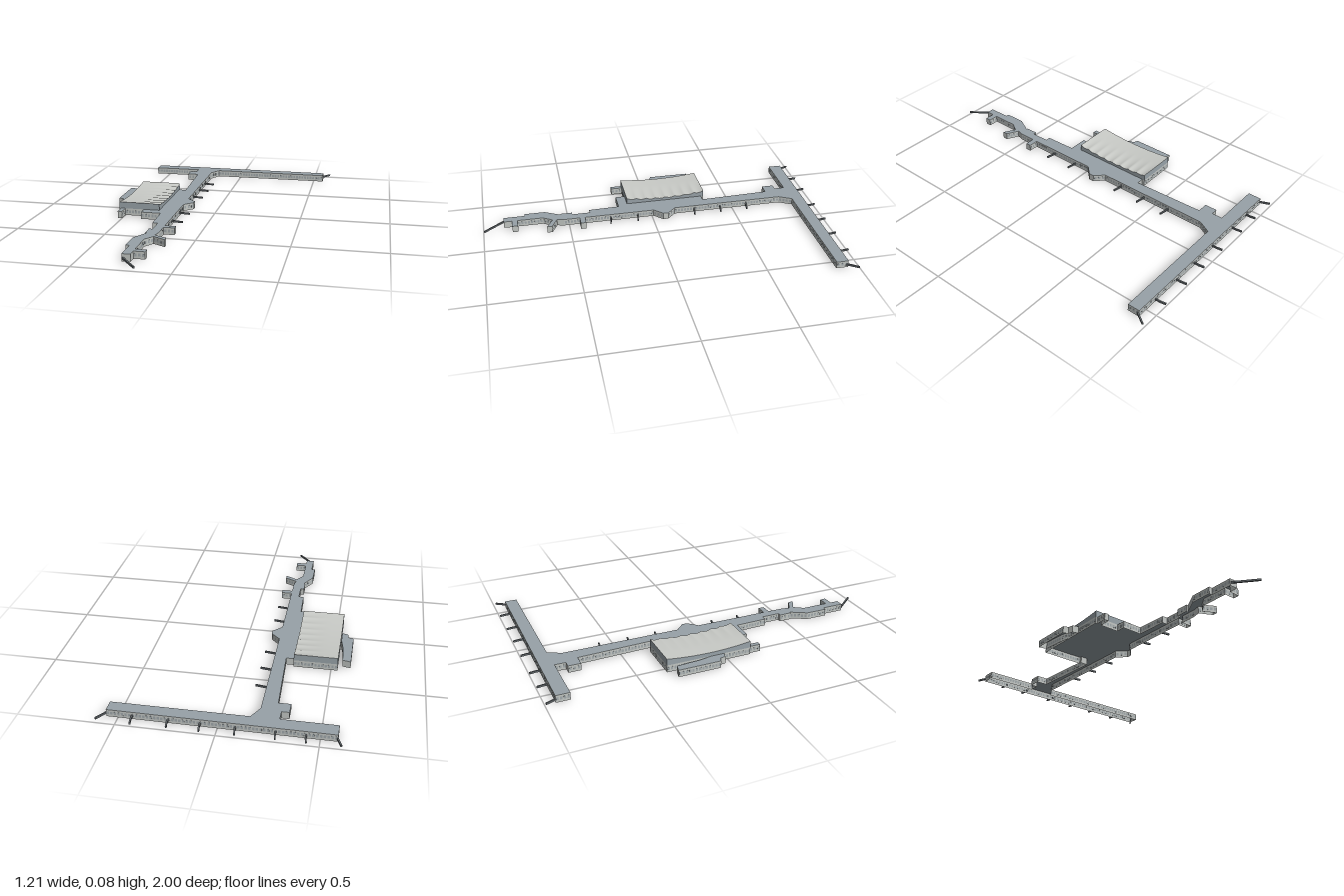
import * as THREE from 'three';

const mat = (name, color, side = THREE.DoubleSide) => {
  const m = new THREE.MeshStandardMaterial({ color, side });
  m.name = name;
  return m;
};

export function createModel() {
  const model = new THREE.Group();
  model.name = 'airportTerminal';
  const roofMat = mat('slate roof', 0x98a2a8);
  const wallMat = mat('pale wall', 0xc2c6c3);
  const glassMat = mat('window glass', 0xa0a8ab, THREE.FrontSide);
  const hallMat = mat('hall roof', 0xc9cbc7);
  const bridgeMat = mat('boarding bridge', 0x666c70, THREE.FrontSide);
  const H = 0.04;

  const add = (name, geo, material, parent = model) => {
    const m = new THREE.Mesh(geo, material);
    m.name = name;
    parent.add(m);
    return m;
  };

  // Open ribbon of wall faces along [x, z] points, clockwise seen from above
  const ribbon = (pts, bottom, top, closed) => {
    const v = [];
    const n = closed ? pts.length : pts.length - 1;
    for (let i = 0; i < n; i++) {
      const [ax, az] = pts[i], [bx, bz] = pts[(i + 1) % pts.length];
      const at = top(ax, az), bt = top(bx, bz);
      v.push(bx, bottom, bz, ax, bottom, az, ax, at, az);
      v.push(bx, bottom, bz, ax, at, az, bx, bt, bz);
    }
    const g = new THREE.BufferGeometry();
    g.setAttribute('position', new THREE.Float32BufferAttribute(v, 3));
    g.computeVertexNormals();
    return g;
  };

  // Row of thin panes along every long enough wall
  const windows = (pts, parent) => {
    const pane = new THREE.BoxGeometry(0.012, 0.016, 0.001);
    pts.forEach(([ax, az], i) => {
      const [bx, bz] = pts[(i + 1) % pts.length];
      const len = Math.hypot(bx - ax, bz - az);
      if (len < 0.05) return;
      const count = Math.floor(len / 0.018);
      for (let k = 0; k < count; k++) {
        const t = (k + 0.5) / count;
        const w = add('window', pane, glassMat, parent);
        w.position.set(ax + (bx - ax) * t, 0.021, az + (bz - az) * t);
        w.rotation.y = Math.atan2(bz - az, ax - bx);
      }
    });
  };

  // Open-bottomed block: flat roof plus surrounding walls
  const block = (name, pts) => {
    const g = new THREE.Group();
    g.name = name;
    const shape = new THREE.Shape(pts.map(([x, z]) => new THREE.Vector2(x, -z)));
    const roof = new THREE.ShapeGeometry(shape).rotateX(-Math.PI / 2).translate(0, H, 0);
    add(name + 'Roof', roof, roofMat, g);
    add(name + 'Walls', ribbon(pts, 0, () => H, true), wallMat, g);
    windows(pts, g);
    model.add(g);
  };

  // Cross pier, long concourse and hall base in one footprint
  block('concourse', [
    [-0.585, -0.945], [0.56, -0.94], [0.56, -0.873], [-0.15, -0.873], [-0.19, -0.8],
    [-0.19, -0.14], [-0.14, -0.09], [-0.14, -0.06], [-0.19, -0.01],
    [-0.19, 0.405], [-0.13, 0.405], [-0.13, 0.437], [-0.19, 0.437],
    [-0.19, 0.53], [-0.2, 0.57], [-0.13, 0.605], [-0.13, 0.635], [-0.2, 0.597],
    [-0.235, 0.65], [-0.235, 0.8], [-0.175, 0.8], [-0.175, 0.833], [-0.235, 0.833],
    [-0.235, 0.88], [-0.28, 0.88], [-0.28, 0.755], [-0.3, 0.755], [-0.3, 0.635],
    [-0.25, 0.545], [-0.26, 0.545], [-0.26, 0.475], [-0.24, 0.475], [-0.24, 0.37],
    [-0.27, 0.37], [-0.275, 0.19], [-0.39, 0.19], [-0.39, 0.135],
    [-0.5, 0.135], [-0.5, 0.2], [-0.525, 0.2], [-0.525, 0.135],
    [-0.535, 0.135], [-0.535, -0.345], [-0.297, -0.345], [-0.297, -0.33], [-0.255, -0.33],
    [-0.27, -0.74], [-0.335, -0.74], [-0.335, -0.81], [-0.295, -0.81],
    [-0.295, -0.87], [-0.585, -0.87],
  ]);
  block('sideWing', [
    [-0.603, -0.31], [-0.558, -0.3], [-0.55, -0.17], [-0.537, -0.1], [-0.537, -0.02],
    [-0.57, -0.03], [-0.575, -0.06], [-0.603, -0.07],
  ]);

  // Hall: sagging roof with eight flutes that fade away from the concourse
  const x0 = -0.535, x1 = -0.297, z0 = -0.345, z1 = 0.135;
  const roofY = (x, z) => {
    const u = (2 * z - z0 - z1) / (z1 - z0);
    const fade = Math.max(0, (x - x0) / (x1 - x0) * 1.6 - 0.6);
    const flute = Math.abs(Math.sin((z - z0) / (z1 - z0) * Math.PI * 8));
    return 0.061 + 0.016 * u * u - 0.007 * fade * flute;
  };
  const hallRoof = new THREE.PlaneGeometry(x1 - x0, z1 - z0, 12, 64)
    .rotateX(-Math.PI / 2).translate((x0 + x1) / 2, 0, (z0 + z1) / 2);
  const p = hallRoof.attributes.position;
  for (let i = 0; i < p.count; i++) p.setY(i, roofY(p.getX(i), p.getZ(i)));
  hallRoof.computeVertexNormals();
  add('hallRoof', hallRoof, hallMat);

  const rim = [];
  for (let i = 0; i < 64; i++) rim.push([x1, z0 + (z1 - z0) * i / 64]);
  for (let i = 0; i < 12; i++) rim.push([x1 + (x0 - x1) * i / 12, z1]);
  for (let i = 0; i < 64; i++) rim.push([x0, z1 + (z0 - z1) * i / 64]);
  for (let i = 0; i < 12; i++) rim.push([x0 + (x1 - x0) * i / 12, z0]);
  add('hallWalls', ribbon(rim, H, roofY, true), roofMat);

  // Boarding bridges: slim box between two ground points
  const bridge = (ax, az, bx, bz) => {
    const m = add('boardingBridge',
      new THREE.BoxGeometry(Math.hypot(bx - ax, bz - az), 0.01, 0.008), bridgeMat);
    m.position.set((ax + bx) / 2, 0.018, (az + bz) / 2);
    m.rotation.y = Math.atan2(az - bz, bx - ax);
  };
  for (const z of [-0.588, -0.424, -0.262, 0.087, 0.25]) bridge(-0.19, z, -0.128, z + 0.01);
  for (const x of [-0.435, -0.288, -0.092, 0.082, 0.243, 0.424]) {
    bridge(x + 0.003, -0.94, x + 0.003, -0.97);
    bridge(x + 0.003, -0.968, x - 0.002, -1);
  }
  bridge(-0.58, -0.94, -0.603, -0.997);
  bridge(0.558, -0.93, 0.6, -0.99);
  bridge(-0.275, 0.88, -0.182, 0.995);

  return model;
}
